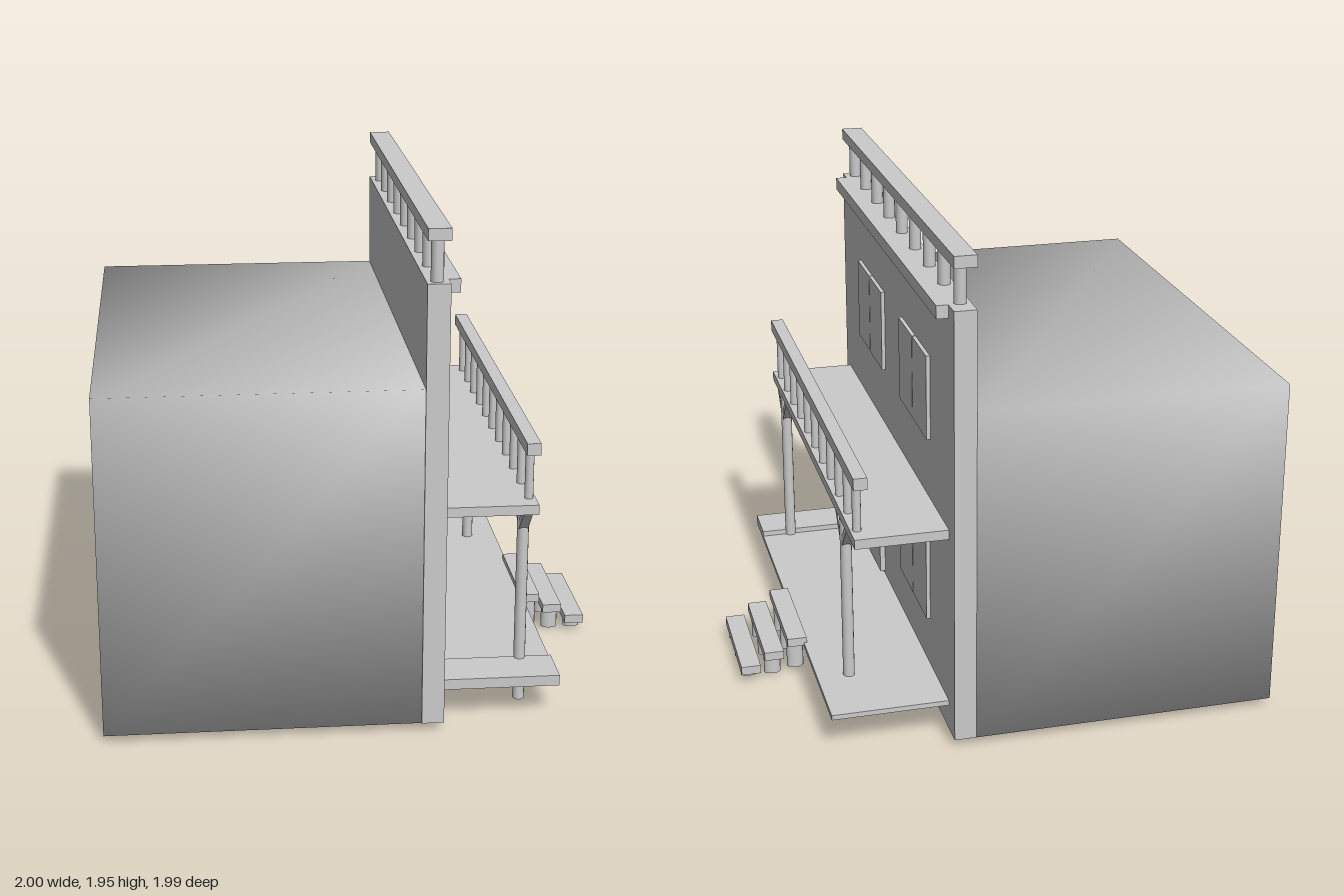
import * as THREE from 'three';
import { mergeVertices } from 'three/addons/utils/BufferGeometryUtils.js';

const material = new THREE.MeshStandardMaterial({ color: 0xcccccc });

export function createModel() {
  const model = new THREE.Group();

  const add = (name, geometry, parent = model) => {
    const mesh = new THREE.Mesh(geometry, material);
    mesh.name = name;
    parent.add(mesh);
    return mesh;
  };
  const group = (name) => {
    const g = new THREE.Group();
    g.name = name;
    model.add(g);
    return g;
  };
  // Box given by its extents along each axis
  const box = (name, [x0, x1], [y0, y1], [z0, z1], parent, smooth = false) => {
    let g = new THREE.BoxGeometry(x1 - x0, y1 - y0, z1 - z0);
    if (smooth) {
      g.deleteAttribute('normal');
      g.deleteAttribute('uv');
      g = mergeVertices(g);
      g.computeVertexNormals();
    }
    g.translate((x0 + x1) / 2, (y0 + y1) / 2, (z0 + z1) / 2);
    return add(name, g, parent);
  };
  // Upright round post, optionally wider in x than in z
  const post = (name, x, [y0, y1], z, rz, parent, rx = rz) => {
    const g = new THREE.CylinderGeometry(1, 1, y1 - y0, 12);
    g.scale(rx, 1, rz);
    g.translate(x, (y0 + y1) / 2, z);
    return add(name, g, parent);
  };

  // Building: softly shaded block behind a tall false front
  box('building', [-1, 0.2], [0.03, 1.355], [-0.995, 0.99], model, true);
  box('falseFront', [0.2, 0.285], [0.03, 1.745], [-0.995, 0.995]);

  // Roof parapet: nine posts under a full-width rail, with a ledge below
  const parapet = group('parapet');
  box('parapetRail', [0.2, 0.285], [1.9, 1.945], [-0.995, 0.995], parapet);
  for (let i = 0; i < 9; i++) {
    post('parapetPost', 0.24, [1.74, 1.905], 0.952 - i * 0.2317, 0.024, parapet);
  }
  box('ledge', [0.28, 0.33], [1.695, 1.745], [-0.915, 0.925], parapet);

  // Door and double-shuttered windows
  box('door', [0.28, 0.307], [0.165, 0.65], [0.23, 0.558]);
  const windows = group('windows');
  for (const [z, y0, y1] of [[0.395, 1.12, 1.455], [-0.395, 1.12, 1.455], [-0.375, 0.355, 0.69]]) {
    for (const s of [-1, 1]) {
      const a = z + s * 0.003, b = z + s * 0.233;
      box('windowPanel', [0.28, 0.3], [y0, y1], [Math.min(a, b), Math.max(a, b)], windows);
    }
  }

  // Balcony with railing
  const balcony = group('balcony');
  box('balconyFloor', [0.28, 0.64], [0.835, 0.873], [-0.915, 0.925], balcony);
  box('balconyRail', [0.588, 0.64], [1.068, 1.115], [-0.915, 0.925], balcony);
  for (let i = 0; i < 11; i++) {
    post('baluster', 0.614, [0.87, 1.07], 0.842 - i * 0.1672, 0.017, balcony);
  }

  // Two supports, each with a pair of diagonal braces
  const supports = group('supports');
  for (const z of [0.745, -0.605]) {
    post('supportPost', 0.614, [0, 0.837], z, 0.023, supports);
    for (const s of [-1, 1]) {
      const brace = new THREE.Shape([
        new THREE.Vector2(0, 0.7), new THREE.Vector2(s * 0.128, 0.837),
        new THREE.Vector2(s * 0.09, 0.837), new THREE.Vector2(0, 0.74),
      ]);
      const g = new THREE.ExtrudeGeometry(brace, { depth: 0.036, bevelEnabled: false });
      g.rotateY(Math.PI / 2);
      g.translate(0.596, 0, z);
      add('brace', g, supports);
    }
  }

  // Porch deck with a raised plank at one end
  box('porchFloor', [0.28, 0.74], [0.132, 0.152], [-0.905, 0.925]);
  box('porchPlank', [0.285, 0.74], [0.15, 0.174], [0.74, 0.925]);

  // Three steps, each a tread on three short legs
  const steps = group('steps');
  for (const [x, foot, y] of [[0.767, 0.018, 0.14], [0.862, 0.002, 0.09], [0.958, 0.004, 0.038]]) {
    box('tread', [x - 0.039, x + 0.039], [y, y + 0.035], [-0.308, 0.15], steps);
    for (const z of [0.087, -0.073, -0.235]) {
      post('stepLeg', x, [foot, y + 0.005], z, 0.022, steps, 0.034);
    }
  }

  return model;
}
